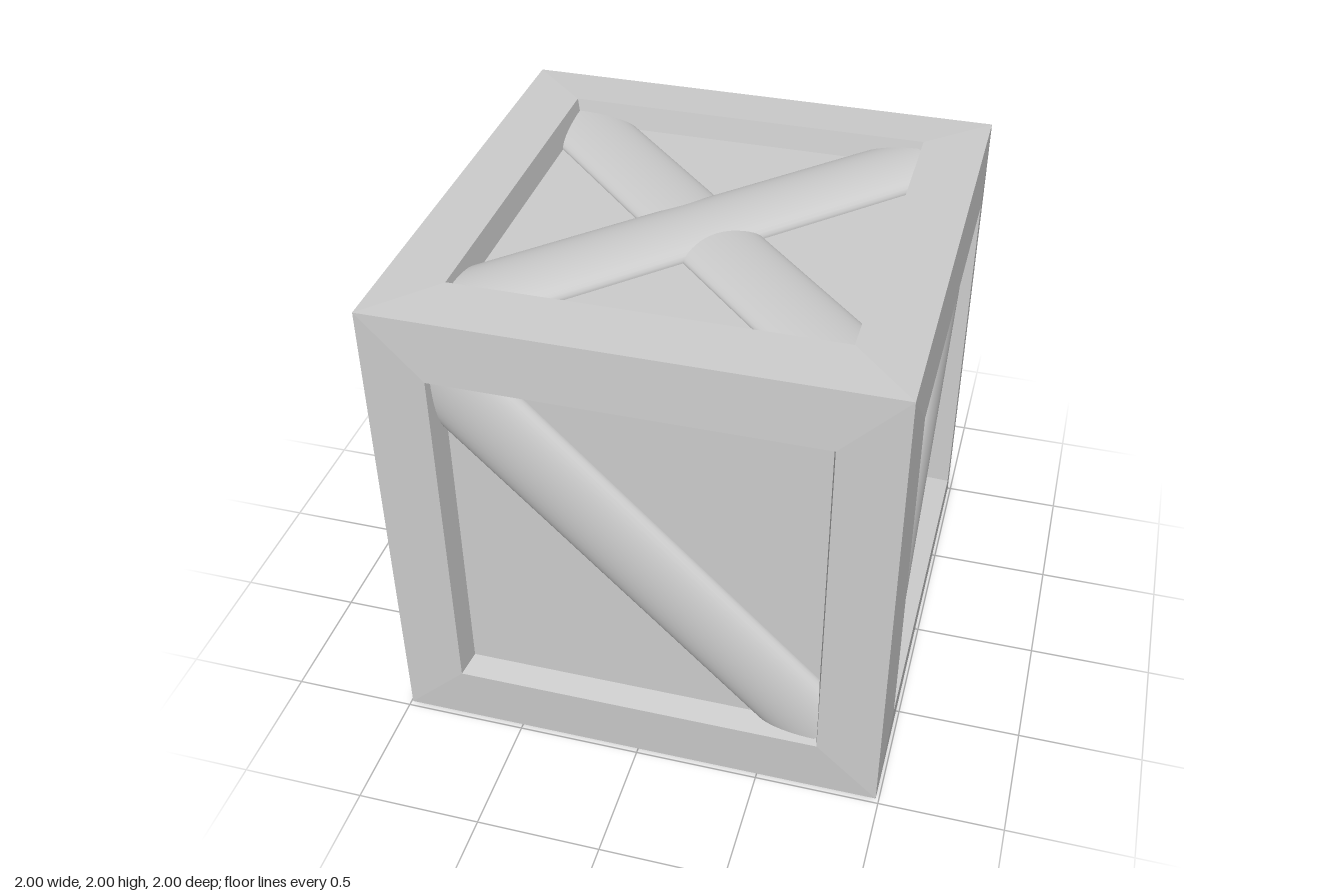
import * as THREE from 'three';

const FLOOR = 0.9; // distance of the recessed panels from the cube centre

export function createModel() {
  const grey = new THREE.MeshStandardMaterial({ color: 0xcccccc });
  grey.name = 'paleGrey';

  // Square ring or plate: a four-sided lathe, profile given as [half width, height]
  function squareLathe(name, profile) {
    const points = profile.map(([half, y]) => new THREE.Vector2(half * Math.SQRT2, y));
    const geometry = new THREE.LatheGeometry(points, 4, Math.PI / 4).toNonIndexed();
    geometry.computeVertexNormals();
    const mesh = new THREE.Mesh(geometry, grey);
    mesh.name = name;
    return mesh;
  }

  // Rounded brace lying across the panel, its ends buried in the frame
  function brace(name, angle, height) {
    const geometry = new THREE.CylinderGeometry(1, 1, 2.06, 20, 1, true, 0, Math.PI);
    geometry.rotateZ(Math.PI / 2);
    geometry.scale(1, height, 0.175);
    geometry.rotateY(angle);
    geometry.translate(0, FLOOR, 0);
    const mesh = new THREE.Mesh(geometry, grey);
    mesh.name = name;
    return mesh;
  }

  // One side of the crate, built facing up
  function crateSide(name, direction, crossed) {
    const side = new THREE.Group();
    side.name = name;
    side.add(
      squareLathe('frame', [[0.988, 0.988], [0.74, 1], [0.72, FLOOR]]),
      squareLathe('panel', [[0.725, FLOOR], [0, FLOOR]]),
      brace('diagonalBrace', direction * Math.PI / 4, 0.07),
    );
    if (crossed) side.add(brace('crossBrace', -direction * Math.PI / 4, 0.05));
    return side;
  }

  const crate = new THREE.Group();
  crate.name = 'crate';

  // Four walls, the braces leaning alternate ways
  ['frontSide', 'leftSide', 'backSide', 'rightSide'].forEach((name, i) => {
    const side = crateSide(name, i % 2 ? 1 : -1, false);
    side.rotation.set(Math.PI / 2, i * Math.PI / 2, 0, 'YXZ');
    crate.add(side);
  });

  // Lid and base with crossed braces
  const lid = crateSide('lid', 1, true);
  const base = crateSide('base', -1, true);
  base.rotation.x = Math.PI;
  crate.add(lid, base);

  crate.position.y = 1;
  const model = new THREE.Group();
  model.name = 'model';
  model.add(crate);
  return model;
}
